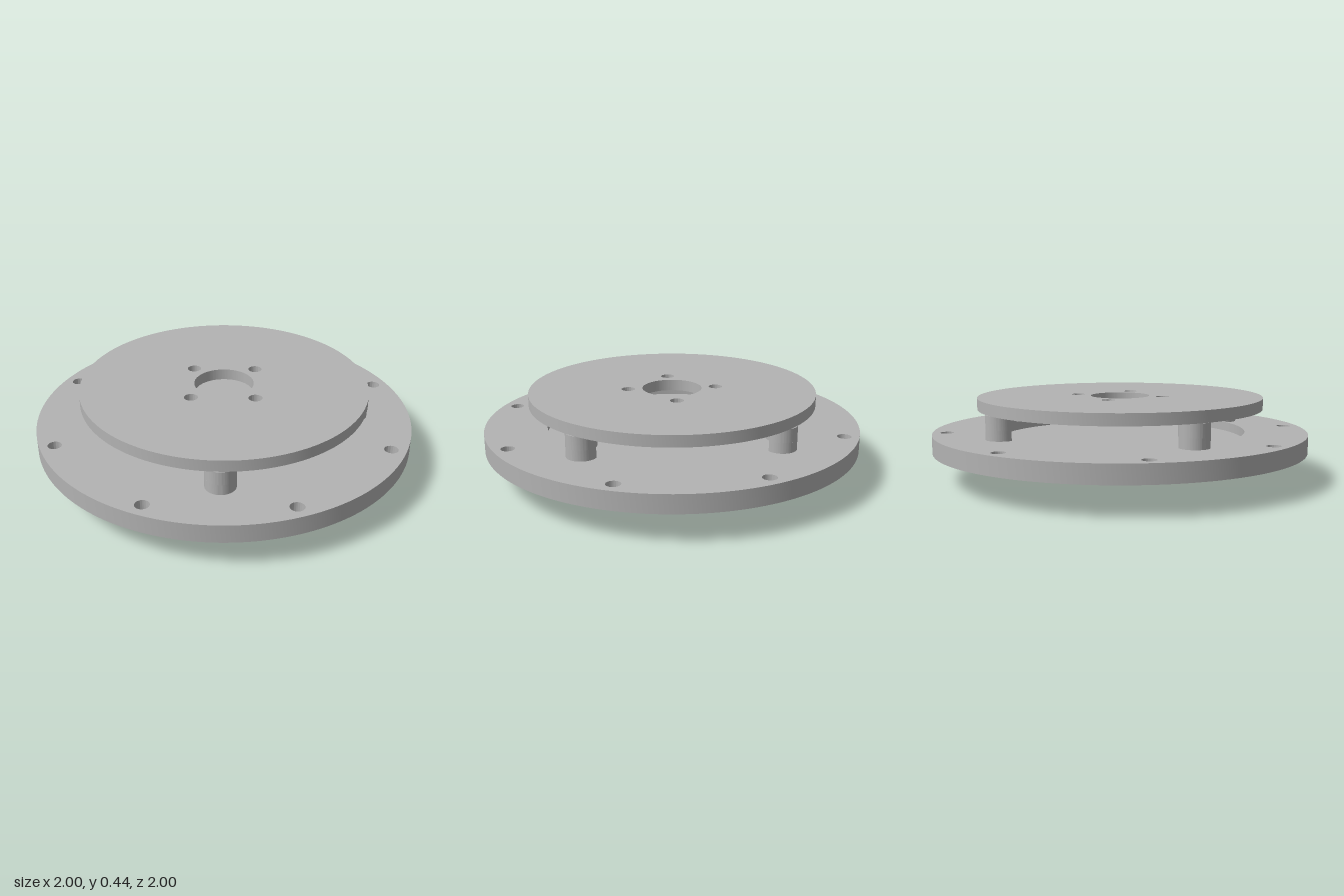
import * as THREE from 'three';
import { toCreasedNormals } from 'three/addons/utils/BufferGeometryUtils.js';

const metal = new THREE.MeshStandardMaterial({ color: 0xb3b3b3 });
metal.name = 'greyMetal';

// Closed outline of a full circle, usable as a shape or as a hole
function circle(Kind, x, y, r) {
  const c = new Kind();
  c.absarc(x, y, r, 0, Math.PI * 2, false);
  return c;
}

// Four or eight equal holes on a bolt circle
function boltHoles(count, ringRadius, holeRadius, start) {
  return Array.from({ length: count }, (_, i) => {
    const a = start + (i * 2 * Math.PI) / count;
    return circle(THREE.Path, ringRadius * Math.cos(a), ringRadius * Math.sin(a), holeRadius);
  });
}

// Flat outline raised from y0 to y1
function slab(name, shape, y0, y1, segments) {
  const geo = new THREE.ExtrudeGeometry(shape, {
    depth: y1 - y0, bevelEnabled: false, curveSegments: segments,
  });
  geo.rotateX(-Math.PI / 2).translate(0, y0, 0);
  const mesh = new THREE.Mesh(toCreasedNormals(geo, Math.PI / 6), metal);
  mesh.name = name;
  return mesh;
}

export function createModel() {
  const model = new THREE.Group();
  model.name = 'mountingPlateAssembly';

  const bottom = 0.155, floor = 0.2, baseTop = 0.25;
  const pocketTop = 0.305, discBottom = 0.375, discTop = 0.435;
  const pocketR = 0.67, postR = 0.077, postD = 0.49 * Math.SQRT2;

  // Base: outer rim with eight holes around a round pocket
  const rim = circle(THREE.Shape, 0, 0, 1);
  rim.holes.push(circle(THREE.Path, 0, 0, pocketR), ...boltHoles(8, 0.923, 0.036, Math.PI / 8));
  model.add(slab('baseRim', rim, bottom, baseTop, 96));
  model.add(slab('pocketFloor', circle(THREE.Shape, 0, 0, pocketR), bottom, floor, 96));

  // Hollow shaft below the base
  const hub = circle(THREE.Shape, 0, 0, 0.109);
  hub.holes.push(circle(THREE.Path, 0, 0, 0.06));
  model.add(slab('hollowShaft', hub, 0, bottom, 48));

  // Top disc with a central opening and four small holes
  const disc = circle(THREE.Shape, 0, 0, 0.763);
  disc.holes.push(circle(THREE.Path, 0, 0, 0.158), ...boltHoles(4, 0.235, 0.036, 0));
  model.add(slab('topDisc', disc, discBottom, discTop, 96));

  // Post section with its inner side cut away along the pocket wall
  const a = Math.acos((pocketR ** 2 - postD ** 2 - postR ** 2) / (2 * postD * postR));
  const b = Math.atan2(postR * Math.sin(a), postD + postR * Math.cos(a));
  const cut = new THREE.Shape();
  cut.absarc(postD, 0, postR, -a, a, false);
  cut.absarc(0, 0, pocketR, b, -b, true);

  // Four standoff posts on the diagonals
  for (let i = 0; i < 4; i++) {
    const post = new THREE.Group();
    post.name = 'standoffPost';
    post.add(slab('postFoot', cut, baseTop, pocketTop, 32));
    post.add(slab('postHead', circle(THREE.Shape, postD, 0, postR), pocketTop, discBottom, 48));
    post.rotation.y = Math.PI / 4 + (i * Math.PI) / 2;
    model.add(post);
  }
  return model;
}
